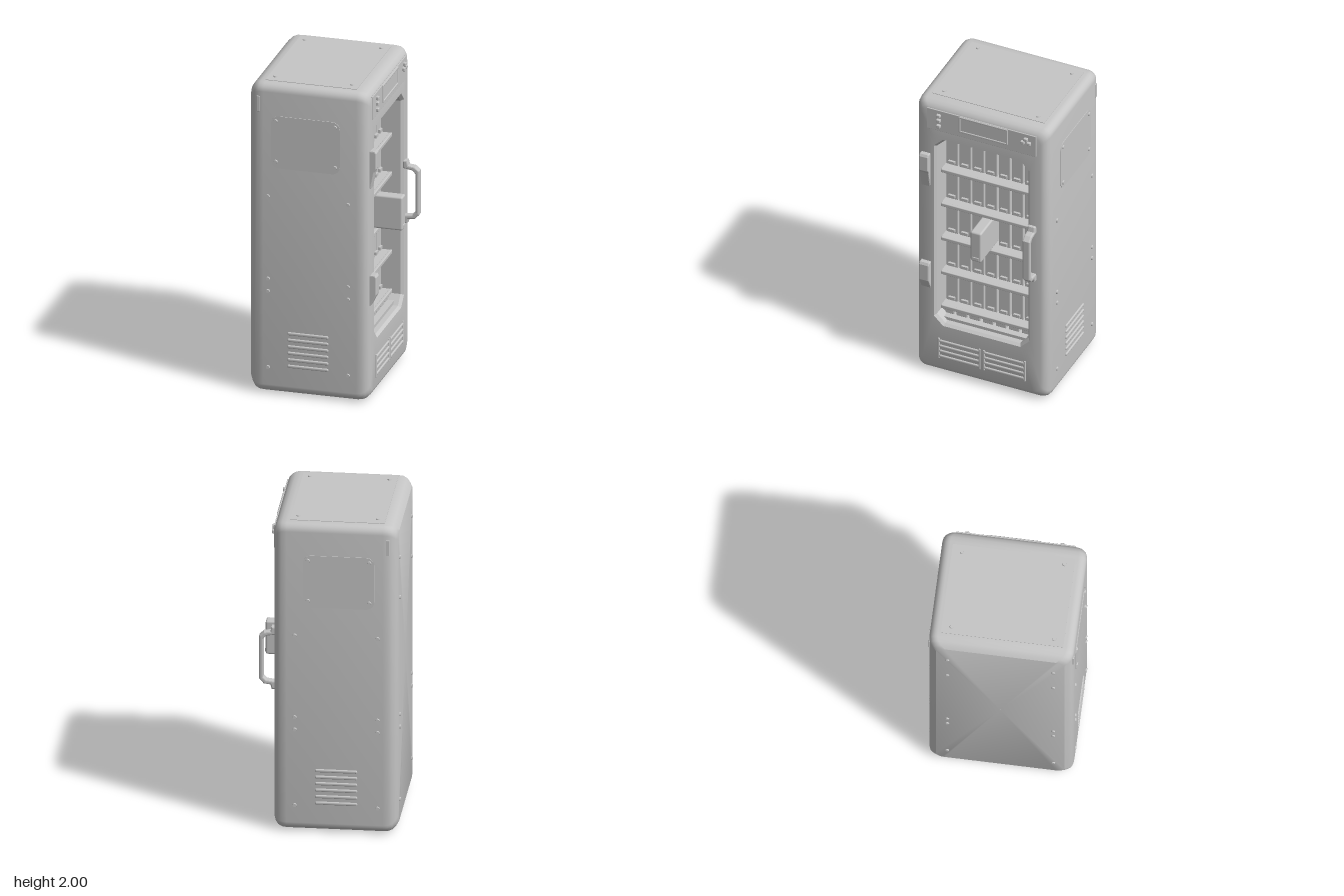
import * as THREE from 'three';
import { toCreasedNormals } from 'three/addons/utils/BufferGeometryUtils.js';
import { RoundedBoxGeometry } from 'three/addons/geometries/RoundedBoxGeometry.js';

const shellGrey = new THREE.MeshStandardMaterial({ color: 0xc6c6c6 });
shellGrey.name = 'shell grey';

// Rounded or chamfered rectangle in the z/y plane at a given x
function ring(x, halfZ, y0, y1, r, chamfer = false) {
  const pts = [], steps = 6;
  const corners = [[1, 1], [-1, 1], [-1, -1], [1, -1]];
  corners.forEach(([sz, sy], c) => {
    const cz = sz * (halfZ - r), cy = sy > 0 ? y1 - r : y0 + r;
    for (let i = 0; i <= steps; i++) {
      const t = i / steps, a = (c + t) * Math.PI / 2;
      let dz = Math.cos(a), dy = Math.sin(a);
      if (chamfer) {
        const m = Math.abs(dz) + Math.abs(dy);
        dz /= m; dy /= m;
      }
      pts.push([x, cy + dy * r, cz + dz * r]);
    }
  });
  return pts;
}

// Skin a series of rings
function loft(rings) {
  const n = rings[0].length, index = [];
  for (let i = 0; i < rings.length - 1; i++) {
    for (let j = 0; j < n; j++) {
      const a = i * n + j, b = a + n, k = (j + 1) % n;
      const c = (i + 1) * n + k, d = i * n + k;
      index.push(a, b, c, a, c, d);
    }
  }
  const g = new THREE.BufferGeometry();
  g.setAttribute('position', new THREE.Float32BufferAttribute(rings.flat(2), 3));
  g.setIndex(index);
  return toCreasedNormals(g, 0.6);
}

// Outline in x/y extruded along z, centred on z = 0
function profile(points, width, bevel = 0.006) {
  const shape = new THREE.Shape(points.map(([x, y]) => new THREE.Vector2(x, y)));
  const g = new THREE.ExtrudeGeometry(shape, {
    depth: width - 2 * bevel, bevelThickness: bevel, bevelSize: bevel, bevelOffset: -bevel, bevelSegments: 2,
  });
  return g.translate(0, 0, bevel - width / 2);
}

// Thin rounded plate facing z, centred on the origin
function plate(w, h, r, t) {
  const s = new THREE.Shape(), x = w / 2, y = h / 2;
  s.absarc(x - r, y - r, r, 0, Math.PI / 2);
  s.absarc(r - x, y - r, r, Math.PI / 2, Math.PI);
  s.absarc(r - x, r - y, r, Math.PI, Math.PI * 1.5);
  s.absarc(x - r, r - y, r, Math.PI * 1.5, Math.PI * 2);
  return new THREE.ExtrudeGeometry(s, { depth: t, bevelEnabled: false, curveSegments: 5 }).translate(0, 0, -t / 2);
}

export function createModel() {
  const model = new THREE.Group();
  const add = (name, geometry, x = 0, y = 0, z = 0, parent = model) => {
    const mesh = new THREE.Mesh(geometry, shellGrey);
    mesh.name = name;
    mesh.position.set(x, y, z);
    parent.add(mesh);
    return mesh;
  };
  const box = (name, w, h, d, x, y, z, r = 0) => add(name,
    r ? new RoundedBoxGeometry(w, h, d, 2, r) : new THREE.BoxGeometry(w, h, d), x, y, z);

  // Cabinet shell with the storage cavity opening toward +x
  const outer = (x, inset) => ring(x, 0.437 - inset, 0.008 + inset, 1.99 - inset, 0.05);
  add('cabinetShell', loft([
    ring(-0.42, 0.001, 1, 1.002, 0.001),
    outer(-0.42, 0.05), outer(-0.406, 0.03), outer(-0.386, 0.011), outer(-0.36, 0.002), outer(-0.33, 0),
    outer(0.25, 0), outer(0.28, 0.003), outer(0.303, 0.013), outer(0.32, 0.03), outer(0.328, 0.05),
    ring(0.328, 0.315, 0.36, 1.74, 0.06, true),
    ring(0.31, 0.302, 0.373, 1.727, 0.055, true),
    ring(-0.08, 0.302, 0.373, 1.727, 0.055, true),
    ring(-0.08, 0.001, 1, 1.002, 0.001),
  ]));

  // Shelves and rows of stored cases
  const frontX = 0.19;
  for (let row = 0; row < 5; row++) {
    const y = 0.455 + row * 0.2515;
    box('shelf', 0.33, 0.018, 0.602, 0.085, y - 0.009, 0);
    box('shelfLip', 0.02, 0.024, 0.602, 0.25, y - 0.009, 0, 0.005);
    for (let i = 0; i < 7; i++) {
      const z = 0.258 - i * 0.086;
      if (row === 2 && i === 3) continue;
      const h = 0.205 + ((i * 5 + row * 3) % 4) * 0.004;
      box('storedCase', 0.26, h, 0.077, frontX - 0.13, y + h / 2, z, 0.005);
      box('caseLatch', 0.02, 0.02, 0.042, frontX + 0.005, y + 0.024, z);
    }
  }
  box('pulledOutCase', 0.36, 0.215, 0.072, 0.24, 1.08, -0.002, 0.012);
  box('pulledOutLatch', 0.012, 0.024, 0.042, 0.418, 0.995, -0.002, 0.004);
  box('bottomLedge', 0.36, 0.02, 0.58, 0.1, 0.386, 0);
  for (let i = 0; i < 7; i++) box('bottomLedgeBlock', 0.22, 0.03, 0.07, 0.13, 0.41, 0.258 - i * 0.086, 0.005);

  // Door handle
  add('doorHandle', profile([
    [0.32, 1.285], [0.348, 1.285], [0.355, 1.255], [0.395, 1.25], [0.423, 1.225], [0.423, 0.945],
    [0.395, 0.915], [0.355, 0.91], [0.348, 0.882], [0.32, 0.882], [0.32, 0.932], [0.38, 0.94],
    [0.398, 0.96], [0.398, 1.205], [0.38, 1.225], [0.32, 1.235],
  ], 0.05, 0.008), 0, 0, -0.335);

  // Door hinges
  add('upperHinge', profile([[0.31, 1.37], [0.33, 1.37], [0.352, 1.48], [0.364, 1.5], [0.364, 1.6], [0.355, 1.615], [0.31, 1.615]], 0.06), 0, 0, 0.368);
  add('lowerHinge', profile([[0.31, 0.62], [0.33, 0.62], [0.355, 0.67], [0.364, 0.69], [0.364, 0.8], [0.355, 0.815], [0.31, 0.815]], 0.065), 0, 0, 0.366);

  // Control panel above the door
  box('controlPanel', 0.008, 0.15, 0.72, 0.328, 1.875, 0, 0.003);
  for (const s of [1, -1]) {
    box('displayFrame', 0.014, 0.012, 0.32, 0.33, 1.89 + s * 0.051, -0.012, 0.004);
    box('displayFrame', 0.014, 0.11, 0.012, 0.33, 1.89, -0.012 + s * 0.156, 0.004);
  }
  for (const [y, z] of [[1.915, 0.28], [1.88, 0.28], [1.84, 0.28], [1.915, -0.295], [1.89, -0.275], [1.89, -0.315]]) {
    box('controlButton', 0.028, 0.022, 0.026, 0.335, y, z, 0.005);
  }

  // Louvres under the door
  for (const z of [0.147, -0.15]) {
    for (let i = 0; i < 4; i++) box('lowerLouvre', 0.022, 0.018, 0.265, 0.325, 0.135 + i * 0.037, z, 0.007);
    for (const s of [1, -1]) box('louvreFrame', 0.014, 0.15, 0.012, 0.328, 0.19, z + s * 0.135, 0.004);
  }

  // Matching access panels and louvres on the +z and -z walls
  for (const s of [1, -1]) {
    add('accessPanel', plate(0.43, 0.335, 0.05, 0.008), -0.065, 1.625, s * 0.437);
    for (let i = 0; i < 6; i++) box('sideLouvre', 0.255, 0.02, 0.022, -0.05, 0.19 + i * 0.042, s * 0.434, 0.008);
    box('cornerClip', 0.022, 0.1, 0.01, -0.36, 1.86, s * 0.434, 0.003);
  }

  // Bolts: [x, y, z, outward axis]
  const boltGeo = new THREE.CylinderGeometry(0.011, 0.015, 0.014, 8);
  const bolt = (x, y, z, axis) => {
    const m = add('bolt', boltGeo, x, y, z);
    m.quaternion.setFromUnitVectors(new THREE.Vector3(0, 1, 0), axis);
  };
  for (const s of [1, -1]) {
    const zAxis = new THREE.Vector3(0, 0, s), yAxis = new THREE.Vector3(0, s, 0), back = new THREE.Vector3(-1, 0, 0);
    for (const y of [1.27, 0.74, 0.66, 0.17]) for (const x of [-0.3, 0.2]) bolt(x, y, s * 0.438, zAxis);
    for (const x of [-0.25, 0.12]) for (const y of [1.76, 1.5]) bolt(x, y, s * 0.442, zAxis);
    for (const y of [1.76, 1.5, 0.74, 0.66, 0.19]) bolt(-0.42, y, s * 0.32, back);
    for (const x of [-0.29, 0.19]) for (const z of [0.31, -0.31]) bolt(x, s > 0 ? 1.993 : 0.007, z, yAxis);
  }

  // Top and bottom cover plates
  for (const y of [1.99, 0.008]) box('coverPlate', 0.57, 0.006, 0.74, -0.05, y, 0);
  return model;
}
